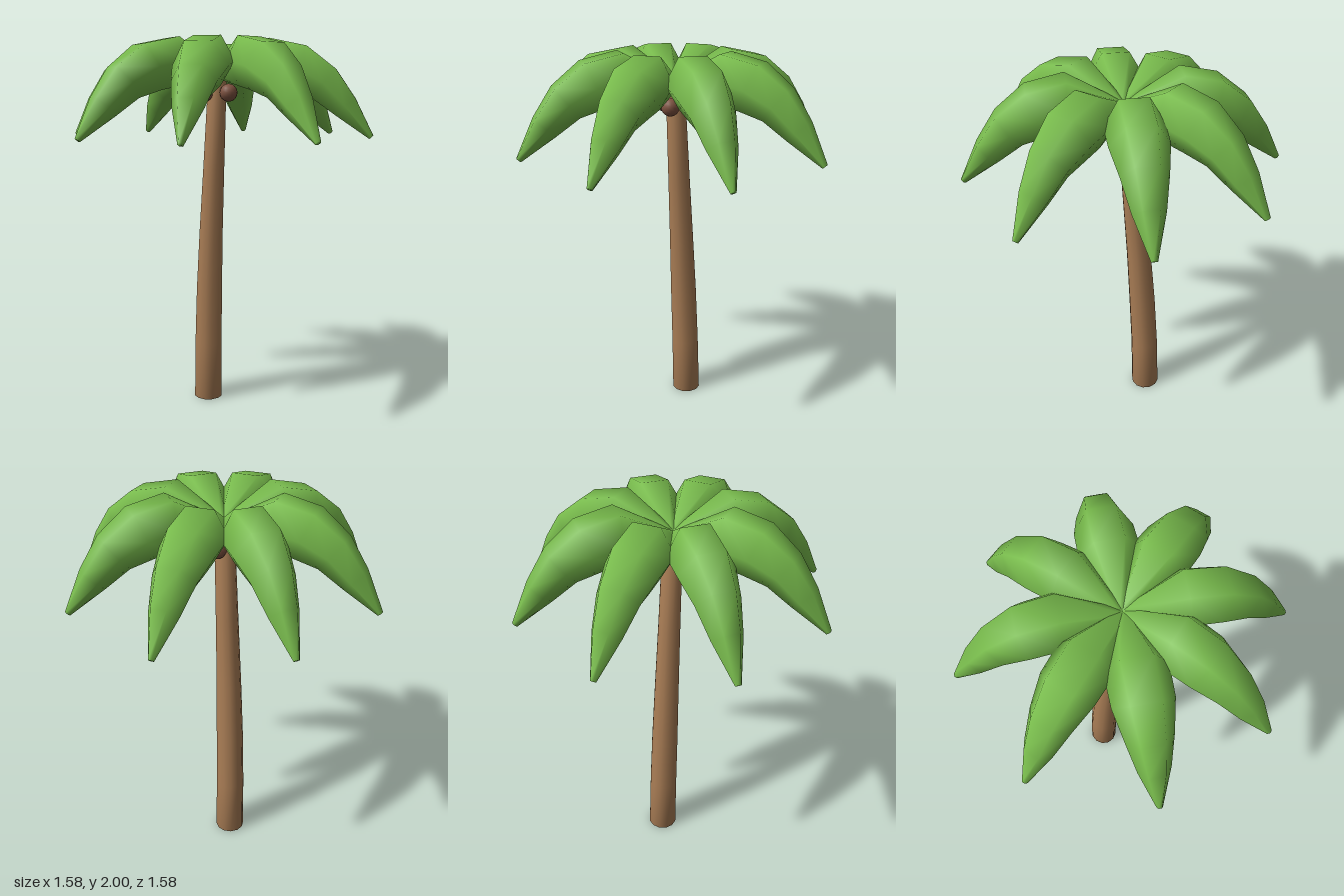
import * as THREE from 'three';

const material = (name, color, side = THREE.FrontSide) => {
  const m = new THREE.MeshStandardMaterial({ color, side });
  m.name = name;
  return m;
};

// Closed, smooth tube with a varying radius; rings are [x, y, z, radius]
function taperedTube(rings, sides) {
  const points = rings.map(([x, y, z]) => new THREE.Vector3(x, y, z));
  const positions = [], index = [];
  const last = rings.length - 1;
  points.forEach((p, i) => {
    const t = points[Math.min(i + 1, last)].clone().sub(points[Math.max(i - 1, 0)]).normalize();
    const n = new THREE.Vector3(0, 0, 1).cross(t).normalize();
    const s = t.clone().cross(n);
    for (let j = 0; j < sides; j++) {
      const a = (j / sides) * Math.PI * 2;
      const v = p.clone()
        .addScaledVector(s, Math.cos(a) * rings[i][3])
        .addScaledVector(n, Math.sin(a) * rings[i][3]);
      positions.push(v.x, Math.max(0, v.y), v.z);
    }
  });
  for (let i = 0; i < last; i++) {
    for (let j = 0; j < sides; j++) {
      const a = i * sides + j, b = i * sides + (j + 1) % sides;
      index.push(a, a + sides, b, b, a + sides, b + sides);
    }
  }
  // End caps
  const start = positions.length / 3;
  positions.push(...points[0].toArray(), ...points[last].toArray());
  for (let j = 0; j < sides; j++) {
    const k = (j + 1) % sides, top = last * sides;
    index.push(start, j, k, start + 1, top + k, top + j);
  }
  const geometry = new THREE.BufferGeometry();
  geometry.setAttribute('position', new THREE.Float32BufferAttribute(positions, 3));
  geometry.setIndex(index);
  geometry.computeVertexNormals();
  return geometry;
}

export function createModel() {
  const model = new THREE.Group();
  model.name = 'palmTree';
  const leafGreen = material('leaf green', 0x78bb4c);
  const barkBrown = material('bark brown', 0xa97d55);
  const nutBrown = material('nut brown', 0x7d5240);

  // Leaning, tapering trunk
  const trunk = new THREE.Mesh(taperedTube([
    [-0.122, 0, -0.04, 0.08],
    [-0.114, 0.33, -0.034, 0.077],
    [-0.098, 0.65, -0.027, 0.073],
    [-0.077, 0.97, -0.02, 0.066],
    [-0.046, 1.35, -0.012, 0.058],
    [-0.01, 1.8, -0.003, 0.05],
  ], 12), barkBrown);
  trunk.name = 'trunk';
  model.add(trunk);

  // Eight drooping six-sided leaves
  const leafGeometry = taperedTube([
    [0, 1.83, 0, 0.03],
    [0.28, 1.88, 0, 0.139],
    [0.42, 1.85, 0, 0.136],
    [0.55, 1.775, 0, 0.107],
    [0.66, 1.66, 0, 0.075],
    [0.795, 1.506, 0, 0.015],
  ], 6);
  const crown = new THREE.Group();
  crown.name = 'crown';
  for (let i = 0; i < 8; i++) {
    const leaf = new THREE.Mesh(leafGeometry, leafGreen);
    leaf.name = 'leaf';
    leaf.rotation.y = -THREE.MathUtils.degToRad(11.4 + i * 45);
    crown.add(leaf);
  }
  model.add(crown);

  // Three coconuts around the trunk top
  const nutGeometry = new THREE.SphereGeometry(0.046, 16, 12);
  for (let i = 0; i < 3; i++) {
    const a = (i / 3) * Math.PI * 2;
    const nut = new THREE.Mesh(nutGeometry, nutBrown);
    nut.name = 'coconut';
    nut.position.set(0.075 * Math.cos(a), 1.73, 0.075 * Math.sin(a));
    model.add(nut);
  }
  return model;
}
